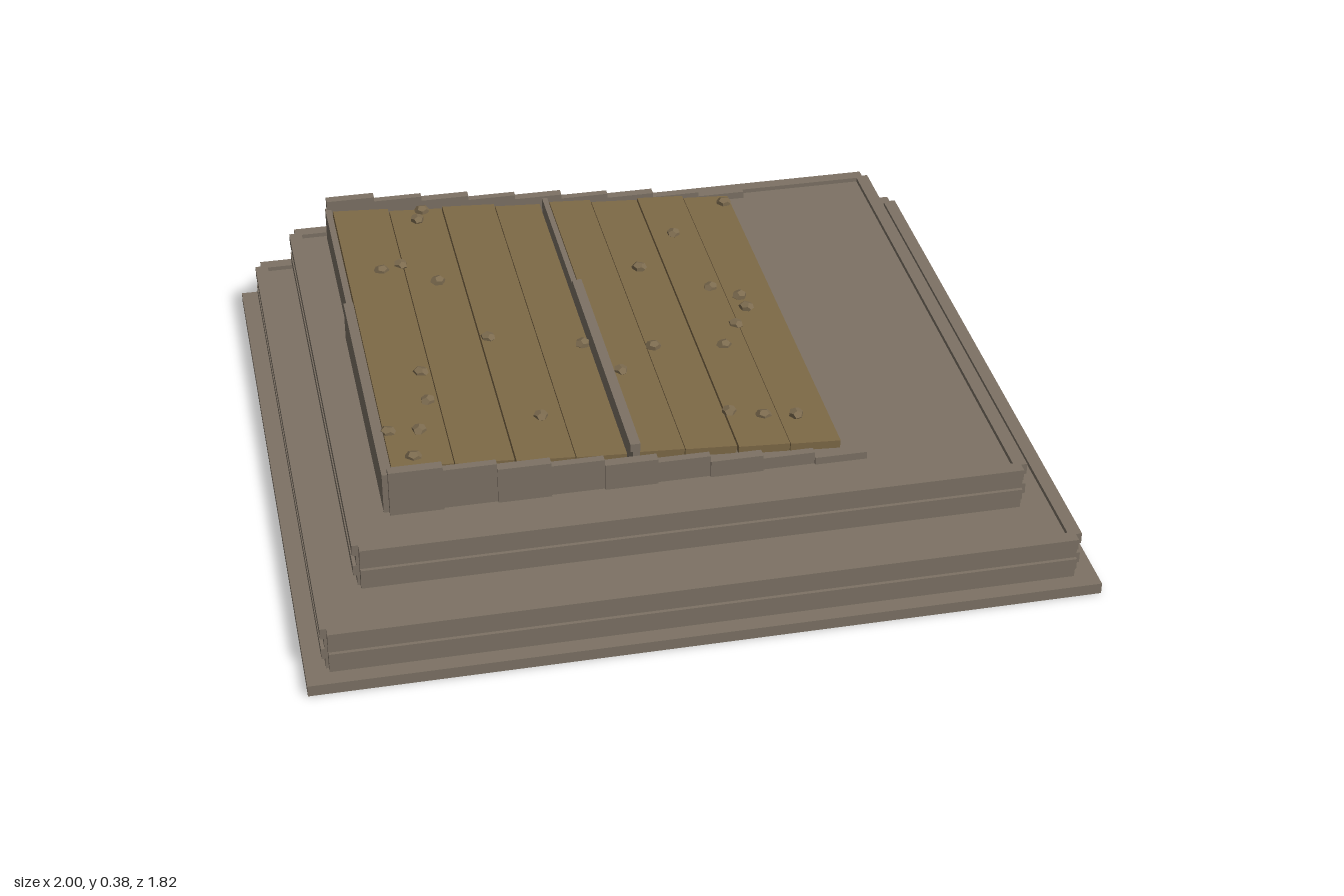
import * as THREE from 'three';

const stone = new THREE.MeshStandardMaterial({ color: 0x7d7265, flatShading: true });
stone.name = 'weathered grey wood';
const wood = new THREE.MeshStandardMaterial({ color: 0x7d6946, flatShading: true });
wood.name = 'brown wood';
const pebbleMat = new THREE.MeshStandardMaterial({ color: 0x7c6b4f, flatShading: true });
pebbleMat.name = 'pebble brown';

// Box given by its limits on each axis
function slab(parent, name, mat, x0, x1, y0, y1, z0, z1) {
  const m = new THREE.Mesh(new THREE.BoxGeometry(x1 - x0, y1 - y0, z1 - z0), mat);
  m.position.set((x0 + x1) / 2, (y0 + y1) / 2, (z0 + z1) / 2);
  m.name = name;
  parent.add(m);
  return m;
}

// Tier: a deck slightly below a rim of stacked boards that alternate in and out
function tier(name, hx, zBack, zFront, y0, y1) {
  const g = new THREE.Group();
  g.name = name;
  const rows = 4, h = (y1 - y0) / rows, t = 0.035;
  slab(g, 'deck', stone, -hx + 0.025, hx - 0.025, y0, y1 - 0.012, zBack + 0.025, zFront - 0.025);
  for (let i = 0; i < rows; i++) {
    const inset = i % 2 ? 0 : 0.009;
    const a = y0 + i * h, b = a + h;
    const ex = hx - 0.016, zb = zBack + 0.025, zf = zFront - 0.025;
    slab(g, 'frontBoard', stone, -ex, ex, a, b, zFront - t, zFront - inset);
    slab(g, 'backBoard', stone, -ex, ex, a, b, zBack + inset, zBack + t);
    for (const s of [-1, 1]) {
      const xo = s * (hx - inset), xi = s * (hx - t);
      slab(g, 'sideBoard', stone, Math.min(xo, xi), Math.max(xo, xi), a, b, zb, zf);
    }
  }
  return g;
}

// Height of the sloping plank surface
const slopeY = (x) => 0.313 - 0.066 * x;

export function createModel() {
  const root = new THREE.Group();
  root.name = 'steppedPlatform';

  slab(root, 'basePlate', stone, -1, 1, 0, 0.03, -0.912, 0.912);
  root.add(tier('lowerTier', 0.957, -0.877, 0.877, 0.03, 0.15));
  root.add(tier('upperTier', 0.855, -0.838, 0.722, 0.15, 0.27));

  // Stepped rails in front of and behind the planks
  const rails = new THREE.Group();
  rails.name = 'steppedRails';
  root.add(rails);
  const steps = 9, x0 = -0.745, w = 1.215 / steps;
  for (let i = 0; i < steps; i++) {
    const a = x0 + i * w, top = 0.384 - i * 0.0132, j = i % 2 ? 0.006 : 0;
    slab(rails, 'frontRail', stone, a, a + w, 0.25, top, 0.549, 0.576 - j);
    slab(rails, 'backRail', stone, a, a + w, 0.25, top, -0.803 + j, -0.776);
  }

  // Left wall and centre divider, each in two lengths
  slab(root, 'leftWallFront', stone, -0.759, -0.733, 0.25, 0.37, -0.25, 0.56);
  slab(root, 'leftWallBack', stone, -0.75, -0.733, 0.25, 0.358, -0.785, -0.25);
  slab(root, 'dividerFront', stone, -0.13, -0.112, 0.25, 0.35, -0.25, 0.549);
  slab(root, 'dividerCap', stone, -0.136, -0.11, 0.345, 0.367, -0.25, 0.549);
  slab(root, 'dividerBack', stone, -0.127, -0.112, 0.25, 0.325, -0.776, -0.25);

  // Sloping planks, with ends trimmed a little unevenly
  const planks = new THREE.Group();
  planks.name = 'planks';
  root.add(planks);
  for (const edges of [[-0.731, -0.572, -0.42, -0.268, -0.136], [-0.11, 0.012, 0.148, 0.284, 0.418]]) {
    for (let i = 0; i < 4; i++) {
      const a = edges[i], b = edges[i + 1] - 0.003, mid = (a + b) / 2;
      const p = slab(planks, 'plank', wood, a, b, 0, 0.022,
        -0.757 + 0.004 * (i % 2), 0.526 - 0.005 * ((i + 1) % 3));
      p.position.y = slopeY(mid) - 0.011 + (i % 2 ? -0.002 : 0.002);
      p.rotation.z = -0.06;
    }
  }

  // Pebbles scattered over the planks: x, z
  const spots = [
    [-0.48, -0.74], [-0.5, -0.69], [-0.635, -0.42], [-0.58, -0.445], [-0.49, -0.35],
    [-0.4, -0.05], [-0.155, 0.005], [-0.6, 0.1], [-0.6, 0.235], [-0.72, 0.365],
    [-0.64, 0.365], [-0.67, 0.48], [-0.325, 0.335], [0.03, 0.035], [-0.08, 0.145],
    [0.22, 0.05], [0.275, -0.05], [0.32, -0.195], [0.325, -0.135], [0.25, -0.245],
    [0.075, -0.37], [0.21, -0.545], [0.395, -0.71], [0.16, 0.365], [0.245, 0.39], [0.33, 0.395],
  ];
  const pebbleGeo = new THREE.DodecahedronGeometry(0.022, 0);
  spots.forEach(([x, z], i) => {
    const m = new THREE.Mesh(pebbleGeo, pebbleMat);
    m.name = 'pebble';
    m.position.set(x, slopeY(x) + 0.003, z);
    m.scale.set(1, 0.65, 0.9);
    m.rotation.y = i * 1.7;
    root.add(m);
  });

  return root;
}
